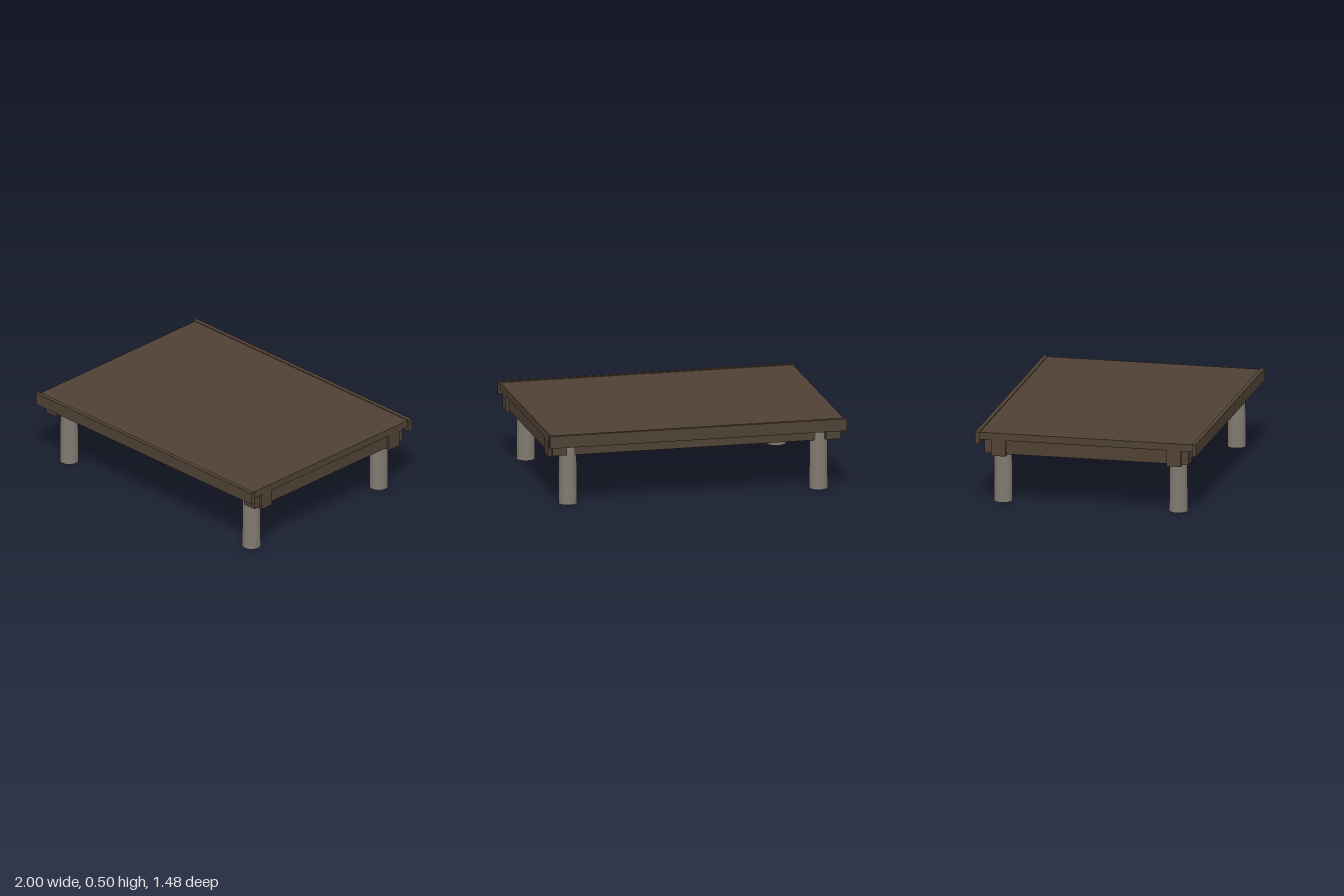
import * as THREE from 'three';

export function createModel() {
  const group = new THREE.Group();
  const wood = new THREE.MeshStandardMaterial({ color: 0x4f4134 });
  wood.name = 'dark brown wood';
  const post = new THREE.MeshStandardMaterial({ color: 0x807a70 });
  post.name = 'weathered grey';

  const add = (name, geometry, material, x, y, z) => {
    const mesh = new THREE.Mesh(geometry, material);
    mesh.name = name;
    mesh.position.set(x, y, z);
    group.add(mesh);
  };
  // Box from its bottom and top heights, centred on x and z
  const board = (name, width, bottom, top, depth, x, z) =>
    add(name, new THREE.BoxGeometry(width, top - bottom, depth), wood, x, (top + bottom) / 2, z);

  // Flat deck
  board('deck', 1.974, 0.442, 0.49, 1.44, 0, 0);

  for (const s of [-1, 1]) {
    const end = s > 0 ? 'front' : 'back';
    const side = s > 0 ? 'left' : 'right';
    // Fascia boards along the long edges, standing just proud of the deck
    board(end + 'Fascia', 2, 0.413, 0.495, 0.028, 0, s * 0.728);
    // Long beams cross the shorter side beams at the corners
    board(end + 'Beam', 1.974, 0.335, 0.443, 0.097, 0, s * 0.589);
    board(side + 'Beam', 0.097, 0.347, 0.443, 1.37, s * 0.92, 0);

    // Round posts, slightly tapered, reaching up to the deck
    for (const t of [-1, 1]) {
      add(end + (t > 0 ? 'Left' : 'Right') + 'Leg',
        new THREE.CylinderGeometry(0.058, 0.062, 0.442, 20), post, t * 0.844, 0.221, s * 0.589);
    }
  }
  return group;
}
